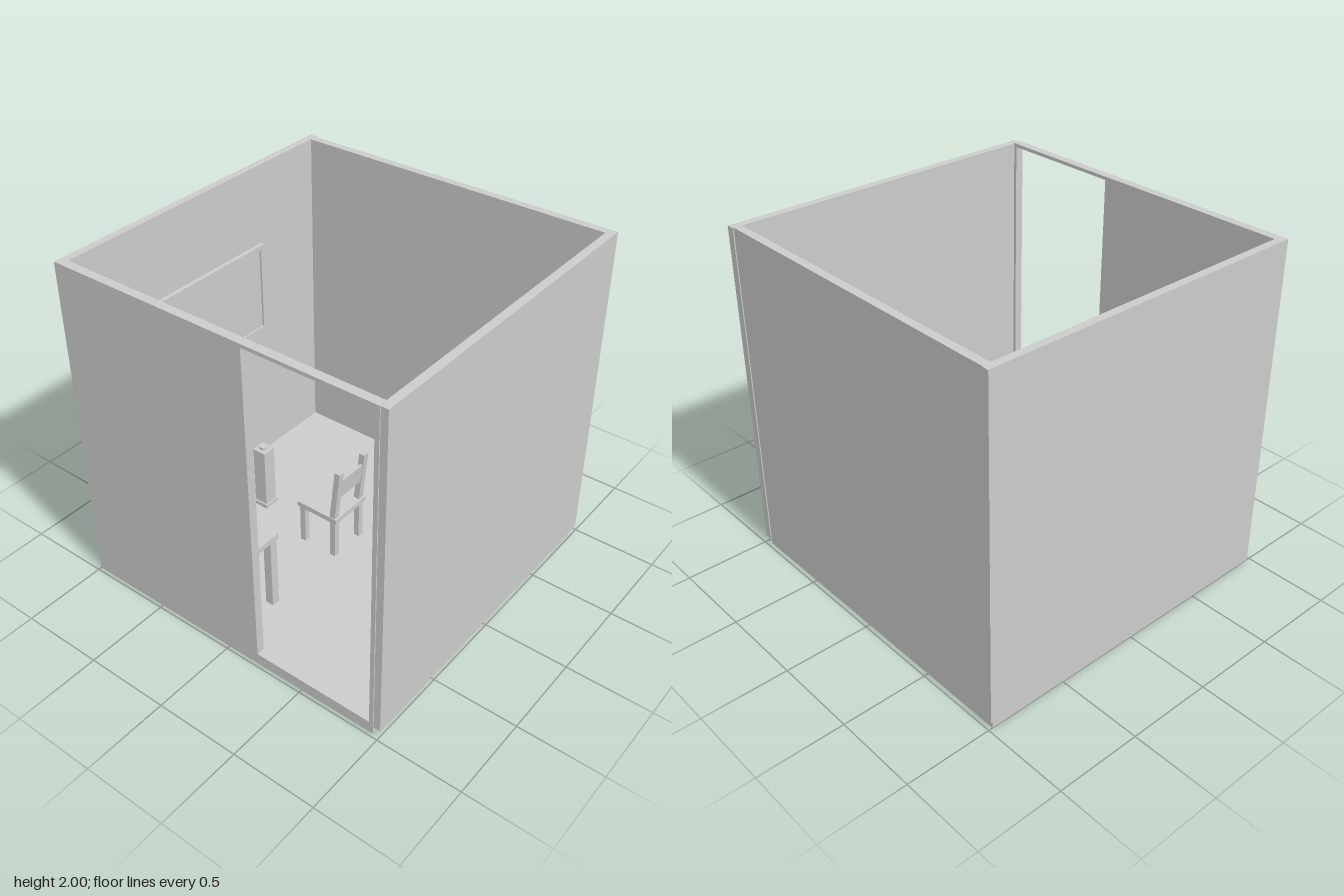
import * as THREE from 'three';

const mat = new THREE.MeshStandardMaterial({ color: 0xcccccc, flatShading: true });

// Box given by its minimum and maximum corners
function box(parent, name, [x0, y0, z0], [x1, y1, z1]) {
  const mesh = new THREE.Mesh(new THREE.BoxGeometry(x1 - x0, y1 - y0, z1 - z0), mat);
  mesh.position.set((x0 + x1) / 2, (y0 + y1) / 2, (z0 + z1) / 2);
  mesh.name = name;
  parent.add(mesh);
  return mesh;
}

function group(parent, name) {
  const g = new THREE.Group();
  g.name = name;
  parent.add(g);
  return g;
}

// Rectangular plate with a rectangular hole, extruded along +z
function plateWithHole([x0, y0, x1, y1], [a0, b0, a1, b1], depth) {
  const rect = (path, l, b, r, t) =>
    path.moveTo(l, b).lineTo(r, b).lineTo(r, t).lineTo(l, t).lineTo(l, b);
  const shape = new THREE.Shape();
  rect(shape, x0, y0, x1, y1);
  const hole = new THREE.Path();
  rect(hole, a0, b0, a1, b1);
  shape.holes.push(hole);
  return new THREE.ExtrudeGeometry(shape, { depth, bevelEnabled: false });
}

function buildRoom(root) {
  const room = group(root, 'room');
  box(room, 'floor', [-1, 0, -0.975], [0.96, 0.045, 0.975]);
  box(room, 'leftWall', [-1, 0.04, -0.985], [-0.955, 2, 0.935]);
  box(room, 'rightWall', [0.953, 0.04, -0.985], [1, 1.996, 0.974]);
  box(room, 'backWall', [-0.96, 0.04, -0.979], [0.957, 1.998, -0.932]);
  // Front wall with the doorway
  const front = new THREE.Mesh(
    plateWithHole([-1, 0, 0.96, 2], [0.203, 0.07, 0.935, 1.98], 0.05), mat);
  front.position.z = 0.93;
  front.name = 'frontWall';
  room.add(front);
}

function buildChair(root) {
  const chair = group(root, 'chair');
  box(chair, 'seat', [-0.23, 0.295, -0.16], [0.05, 0.327, 0.12]);
  for (const z of [-0.13, 0.095]) {
    for (const x of [-0.2, 0.02]) {
      box(chair, 'chairLeg', [x - 0.018, 0.04, z - 0.018], [x + 0.018, 0.3, z + 0.018]);
    }
  }
  // Leaning back: boxes sheared along x with height
  const lean = (mesh) => {
    const p = mesh.geometry.attributes.position;
    for (let i = 0; i < p.count; i++) {
      p.setX(i, p.getX(i) + (p.getY(i) + mesh.position.y - 0.32) * 0.11);
    }
  };
  for (const z of [-0.13, 0.095]) {
    lean(box(chair, 'backPost', [0, 0.32, z - 0.019], [0.036, 0.66, z + 0.019]));
  }
  lean(box(chair, 'backSlat', [0.014, 0.465, -0.13], [0.032, 0.59, 0.095]));
}

function buildTable(root) {
  const table = group(root, 'table');
  box(table, 'tableTop', [-0.81, 0.505, 0.58], [0.025, 0.54, 0.92]);
  for (const x of [-0.775, -0.01]) {
    for (const z of [0.612, 0.888]) {
      box(table, 'tableLeg', [x - 0.025, 0.04, z - 0.025], [x + 0.025, 0.51, z + 0.025]);
    }
  }
}

function buildBin(root) {
  const bin = group(root, 'bin');
  bin.position.set(0.832, 0, -0.655);
  const ring = (name, outer, inner, y0, y1) => {
    const geo = plateWithHole([-outer, -outer, outer, outer], [-inner, -inner, inner, inner], y1 - y0);
    geo.rotateX(-Math.PI / 2);
    const mesh = new THREE.Mesh(geo, mat);
    mesh.position.y = y0;
    mesh.name = name;
    bin.add(mesh);
  };
  ring('binBody', 0.097, 0.084, 0.04, 0.408);
  ring('binRim', 0.11, 0.088, 0.405, 0.425);
  box(bin, 'binBottom', [-0.09, 0.04, -0.09], [0.09, 0.06, 0.09]);
}

function buildPedestal(root) {
  const pedestal = group(root, 'pedestal');
  pedestal.position.set(-0.605, 0, -0.02);
  box(pedestal, 'pedestalBase', [-0.053, 0.04, -0.053], [0.053, 0.07, 0.053]);
  box(pedestal, 'pedestalColumn', [-0.043, 0.065, -0.043], [0.043, 0.45, 0.043]);
  const knob = new THREE.Mesh(new THREE.CylinderGeometry(0.023, 0.023, 0.02, 24), mat);
  knob.position.y = 0.458;
  knob.name = 'button';
  pedestal.add(knob);
}

function buildWallPanel(root) {
  const panel = group(root, 'wallPanel');
  // Frame lies in the wall plane and faces the chair
  const frame = new THREE.Mesh(
    plateWithHole([-0.49, 0.95, 0.46, 1.52], [-0.46, 0.98, 0.43, 1.49], 0.03), mat);
  frame.rotation.y = Math.PI / 2;
  frame.position.x = -0.96;
  frame.name = 'panelFrame';
  panel.add(frame);
  box(panel, 'panelFace', [-0.96, 0.97, -0.44], [-0.942, 1.5, 0.47]);
}

export function createModel() {
  const root = new THREE.Group();
  root.name = 'furnishedRoom';
  buildRoom(root);
  buildChair(root);
  buildTable(root);
  buildBin(root);
  buildPedestal(root);
  buildWallPanel(root);
  return root;
}
